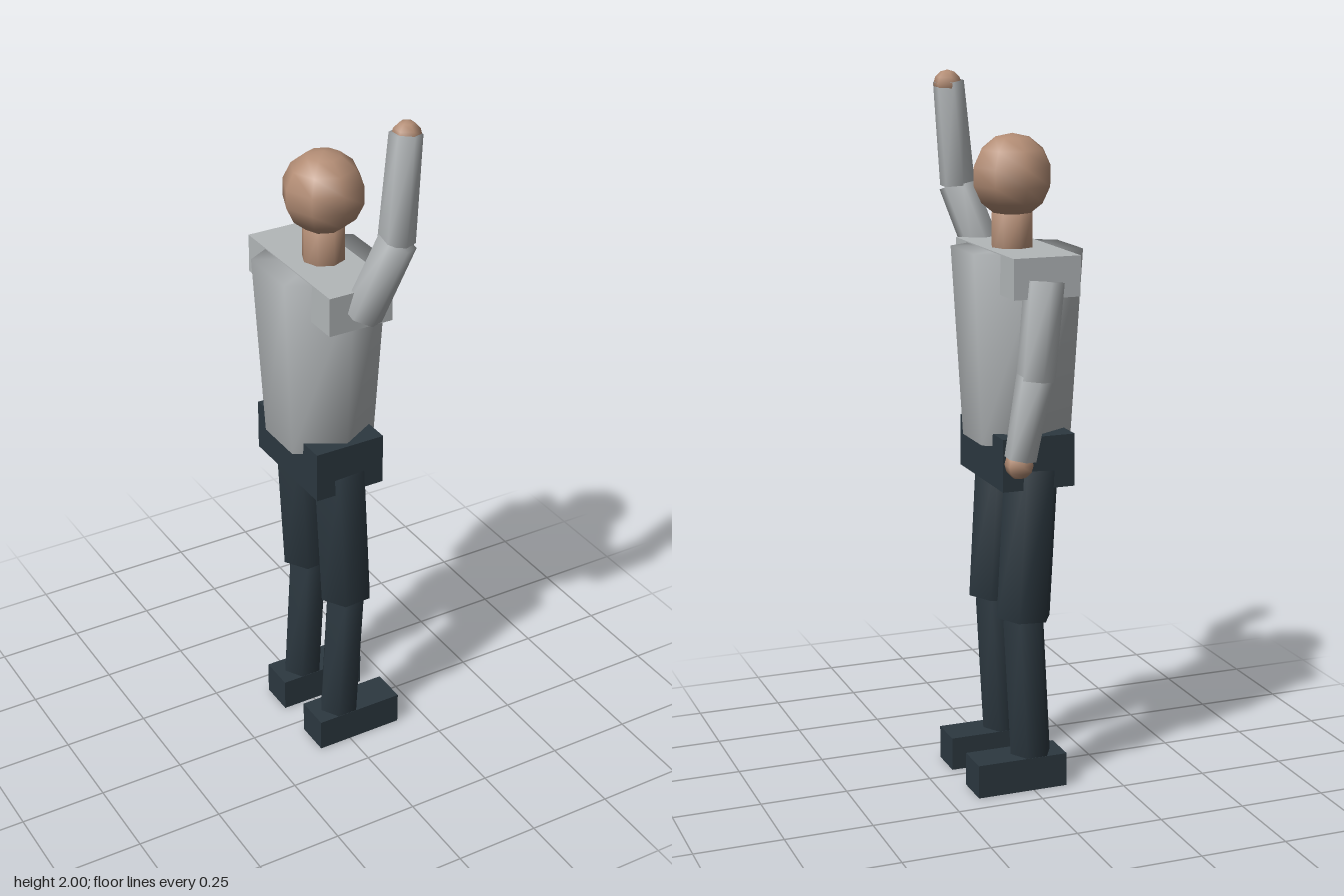
import * as THREE from 'three';
import { mergeVertices } from 'three/addons/utils/BufferGeometryUtils.js';

export function createModel() {
  const model = new THREE.Group();
  const mat = (name, color) => {
    const m = new THREE.MeshStandardMaterial({ color });
    m.name = name;
    return m;
  };
  const skin = mat('skin', 0xb38d75);
  const shirt = mat('shirt grey', 0xb3b7b9);
  const dark = mat('dark trousers', 0x2c3840);

  const add = (name, geometry, material) => {
    const mesh = new THREE.Mesh(geometry, material);
    mesh.name = name;
    model.add(mesh);
    return mesh;
  };

  // Box given by its lowest and highest corners
  const box = (name, a, b, material) => {
    const g = new THREE.BoxGeometry(b[0] - a[0], b[1] - a[1], b[2] - a[2]);
    add(name, g, material).position.set((a[0] + b[0]) / 2, (a[1] + b[1]) / 2, (a[2] + b[2]) / 2);
  };

  // Low-poly cylinder between two points, shaded smoothly over its rims
  const limb = (name, from, to, rFrom, rTo, material, turn = 0, sides = 6) => {
    const a = new THREE.Vector3(...from), b = new THREE.Vector3(...to);
    const dir = b.clone().sub(a);
    let g = new THREE.CylinderGeometry(rTo, rFrom, dir.length(), sides, 1, false);
    g.rotateY(turn);
    g.deleteAttribute('uv');
    g.deleteAttribute('normal');
    g = mergeVertices(g, 1e-5);
    g.computeVertexNormals();
    const mesh = add(name, g, material);
    mesh.position.copy(a).add(b).multiplyScalar(0.5);
    mesh.quaternion.setFromUnitVectors(new THREE.Vector3(0, 1, 0), dir.normalize());
  };

  const ball = (name, p, r, w, h, turn = 0) => {
    const mesh = add(name, new THREE.SphereGeometry(r, w, h), skin);
    mesh.position.set(...p);
    mesh.rotation.y = turn;
  };

  // Head and neck
  ball('head', [0.004, 1.73, -0.023], 0.115, 8, 7);
  limb('neck', [0.004, 1.5, -0.023], [0.004, 1.63, -0.023], 0.06, 0.06, skin, 0, 8);

  // Body
  limb('torso', [-0.009, 1.0, -0.022], [-0.009, 1.533, -0.022], 0.152, 0.184, shirt);
  box('shoulders', [-0.105, 1.425, -0.247], [0.087, 1.536, 0.2], shirt);
  box('hips', [-0.114, 0.887, -0.193], [0.097, 1.035, 0.147], dark);

  // Legs, with the flat sides of each hexagon facing sideways
  const flat = Math.PI / 6;
  for (const [side, z] of [['left', 0.09], ['right', -0.132]]) {
    limb(side + 'Thigh', [0.013, 0.505, z], [-0.01, 0.938, z], 0.08, 0.08, dark, flat);
    limb(side + 'Shin', [-0.01, 0.08, z], [0.013, 0.5, z], 0.06, 0.06, dark, flat);
    box(side + 'Foot', [-0.1, 0, z - 0.053], [0.167, 0.097, z + 0.053], dark);
  }

  // Raised arm
  limb('raisedUpperArm', [-0.005, 1.465, 0.2], [0.066, 1.683, 0.252], 0.055, 0.053, shirt);
  limb('raisedForearm', [0.065, 1.68, 0.248], [0.094, 1.97, 0.237], 0.05, 0.044, shirt);
  ball('raisedHand', [0.098, 1.962, 0.234], 0.04, 6, 6, flat);

  // Hanging arm
  limb('loweredUpperArm', [0.025, 1.205, -0.25], [-0.005, 1.47, -0.235], 0.053, 0.055, shirt);
  limb('loweredForearm', [0.066, 0.99, -0.243], [0.027, 1.215, -0.248], 0.044, 0.05, shirt);
  ball('loweredHand', [0.07, 0.975, -0.243], 0.04, 6, 6, flat);

  return model;
}
